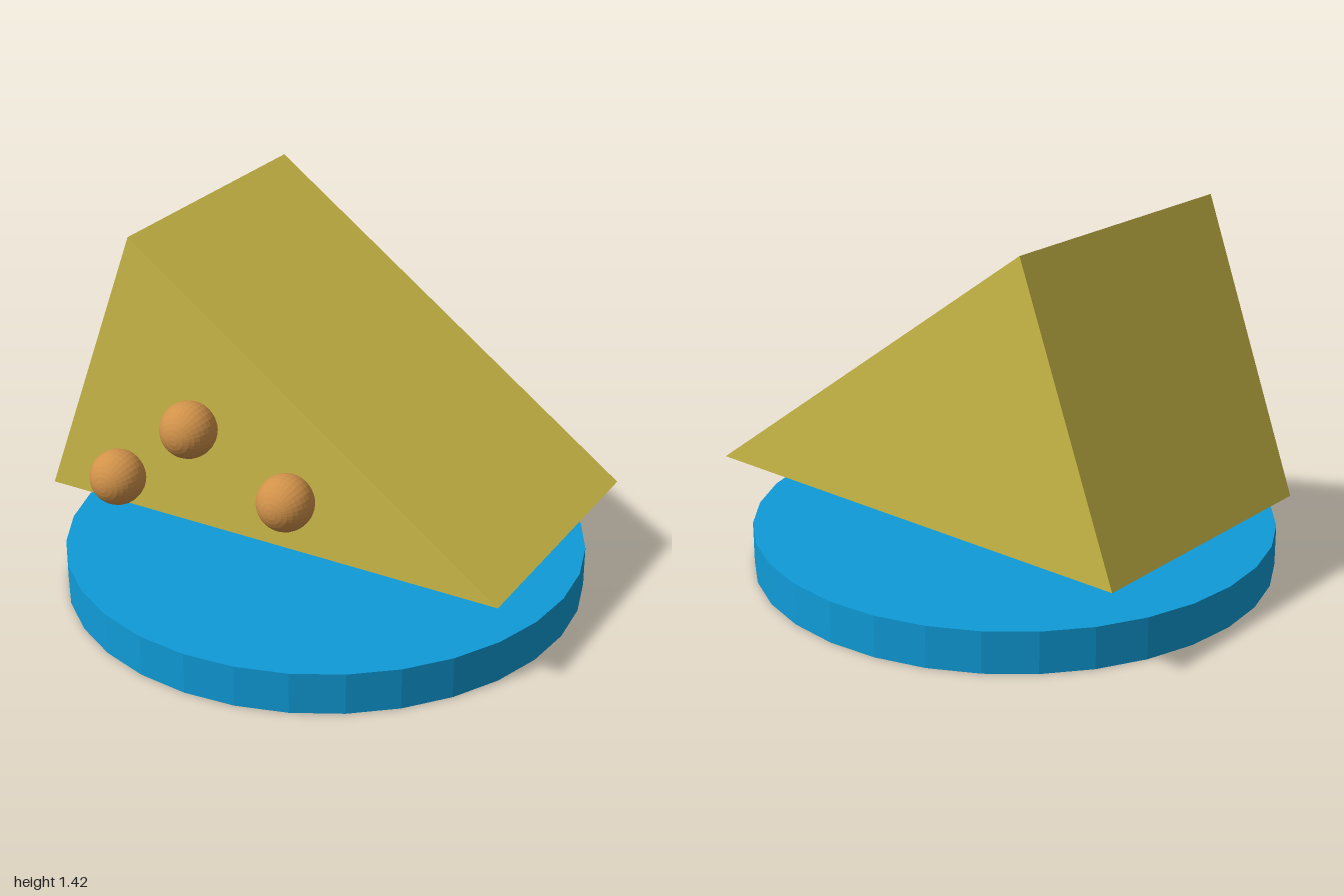
import * as THREE from 'three';

export function createModel() {
  const model = new THREE.Group();
  const material = (name, color, flatShading = true) => {
    const m = new THREE.MeshStandardMaterial({ color, flatShading });
    m.name = name;
    return m;
  };
  const blue = material('plate blue', 0x0f9bd8);
  const yellow = material('cheese yellow', 0xcfbc49);
  const orange = material('ball orange', 0xd1924a);

  const add = (name, geometry, mat, x, y, z) => {
    const mesh = new THREE.Mesh(geometry, mat);
    mesh.name = name;
    mesh.position.set(x, y, z);
    model.add(mesh);
  };

  // Faceted round plate
  add('plate', new THREE.CylinderGeometry(1, 1, 0.16, 32), blue, 0, 0.08, 0);

  // Triangular wedge floating above the plate
  const triangle = new THREE.Shape([
    new THREE.Vector2(-0.945, 0.345),
    new THREE.Vector2(0.945, 0.345),
    new THREE.Vector2(-0.545, 1.425),
  ]);
  const wedge = new THREE.ExtrudeGeometry(triangle, { depth: 1.08, bevelEnabled: false });
  add('wedge', wedge, yellow, 0, 0, -0.62);

  // Balls set into the front face, poles along z
  const ball = new THREE.SphereGeometry(0.106, 32, 16).rotateX(Math.PI / 2);
  [[-0.6, 0.48], [-0.275, 0.755], [0.13, 0.565]].forEach(([x, y], i) =>
    add(`ball${i + 1}`, ball, orange, x, y, 0.515));

  return model;
}
